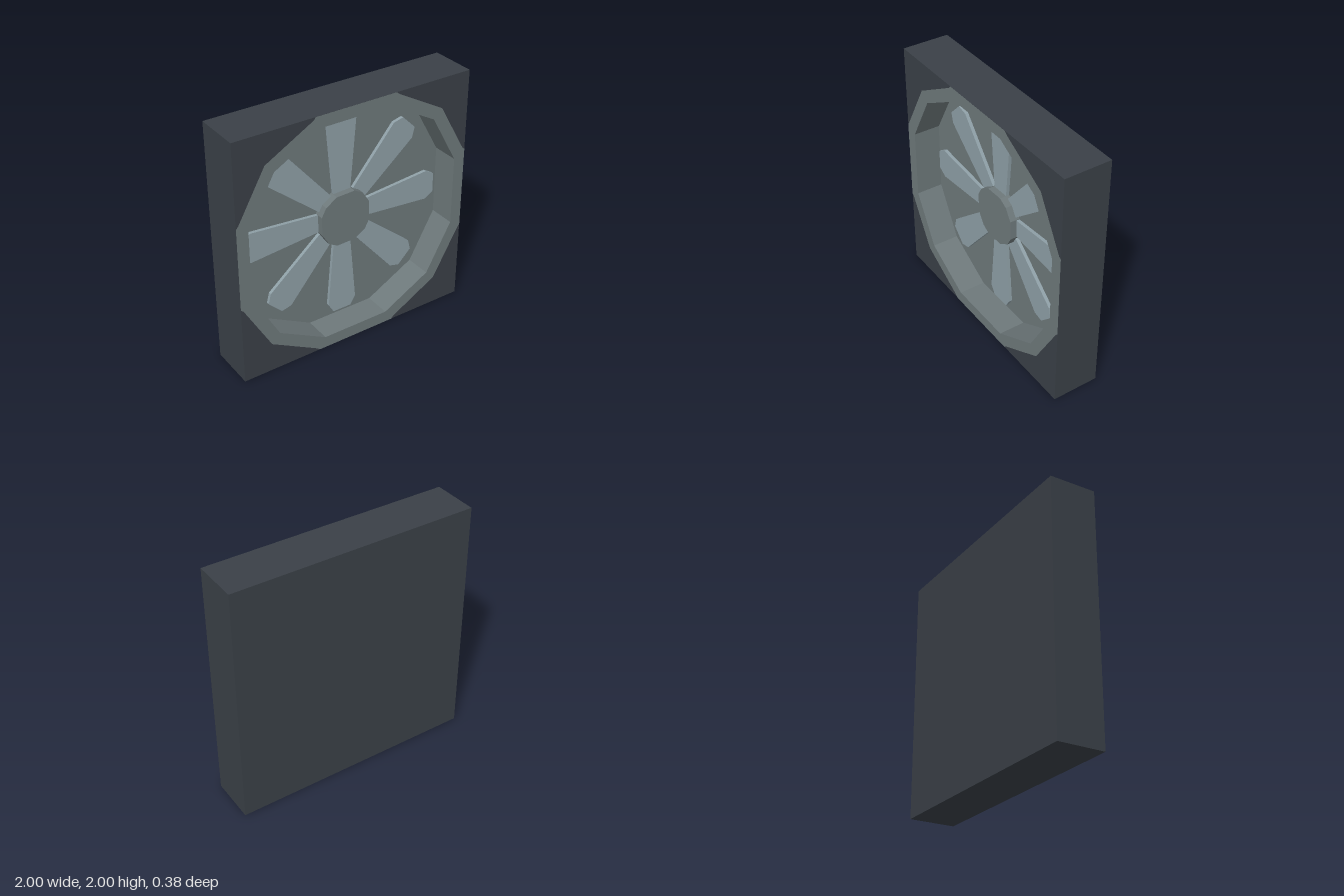
import * as THREE from 'three';

// Repeats a quarter outline (first quadrant, listed from the top down) around all four quadrants,
// returned counter-clockwise so that extruded holes face inwards
function quarterLoop(quarter, scale = 1) {
  const points = [];
  for (let i = 0; i < 4; i++) {
    for (const [x, y] of quarter) {
      points.push(new THREE.Vector2(x, y).multiplyScalar(scale).rotateAround(new THREE.Vector2(), -i * Math.PI / 2));
    }
  }
  return points.reverse();
}

function shapeWithHole(outer, hole) {
  const shape = new THREE.Shape(outer);
  shape.holes.push(new THREE.Path([...hole].reverse()));
  return shape;
}

// Straight extrusion between two z levels
function slab(shape, z0, z1) {
  const geometry = new THREE.ExtrudeGeometry(shape, { depth: z1 - z0, bevelEnabled: false });
  return geometry.translate(0, 0, z0);
}

export function createModel() {
  const material = (name, color) => {
    const m = new THREE.MeshStandardMaterial({ color });
    m.name = name;
    return m;
  };
  const dark = material('dark casing', 0x3a4047);
  const grey = material('grey metal', 0x6e797b);
  const pale = material('pale blade', 0x8fa0a7);

  const fan = new THREE.Group();
  fan.name = 'fan';
  fan.position.y = 1;
  const add = (name, geometry, mat, parent = fan) => {
    const mesh = new THREE.Mesh(geometry, mat);
    mesh.name = name;
    parent.add(mesh);
    return mesh;
  };

  const half = 0.19, floorZ = -0.03;
  const openingQuarter = [[0.285, 0.905], [0.685, 0.685], [0.905, 0.285]];
  const opening = quarterLoop(openingQuarter);
  const linerOuter = quarterLoop(openingQuarter, 1.01);
  const rimOuter = quarterLoop([[0.335, 1], [0.36, 0.98], [0.757, 0.757], [0.98, 0.36], [1, 0.345]]);
  const square = quarterLoop([[1, 1]]);

  // Casing: closed back with the recess floor on its front, and a square surround
  const back = new THREE.BoxGeometry(2, 2, half + floorZ).translate(0, 0, (floorZ - half) / 2);
  add('casingBack', back, [dark, dark, dark, dark, grey, dark]);
  add('casingSurround', slab(shapeWithHole(square, linerOuter), floorZ, half - 0.001), dark);

  // Recess wall and flat rim around the opening
  add('recessWall', slab(shapeWithHole(linerOuter, opening), floorZ, half - 0.001), grey);
  add('rim', new THREE.ShapeGeometry(shapeWithHole(rimOuter, opening)).translate(0, 0, half), grey);

  // Eight tapered blades with clipped tips, the diagonal ones slightly shorter
  const bladeShape = new THREE.Shape([
    [-0.07, 0.16], [0.07, 0.16], [0.125, 0.79], [0.08, 0.865], [-0.08, 0.865], [-0.125, 0.79],
  ].map(([x, y]) => new THREE.Vector2(x, y)));
  const bladeGeometry = slab(bladeShape, floorZ, -0.003);
  const blades = new THREE.Group();
  blades.name = 'blades';
  fan.add(blades);
  for (let i = 0; i < 8; i++) {
    const blade = add('blade', bladeGeometry, pale, blades);
    blade.rotation.z = i * Math.PI / 4;
    if (i % 2) blade.scale.set(0.99, 0.99, 1);
  }

  // Hub
  const hubOutline = quarterLoop([[0.077, 0.215], [0.15, 0.175], [0.21, 0.08]]);
  add('hub', slab(new THREE.Shape(hubOutline), floorZ, 0.05), grey);

  const model = new THREE.Group();
  model.name = 'fanPanel';
  model.add(fan);
  return model;
}
